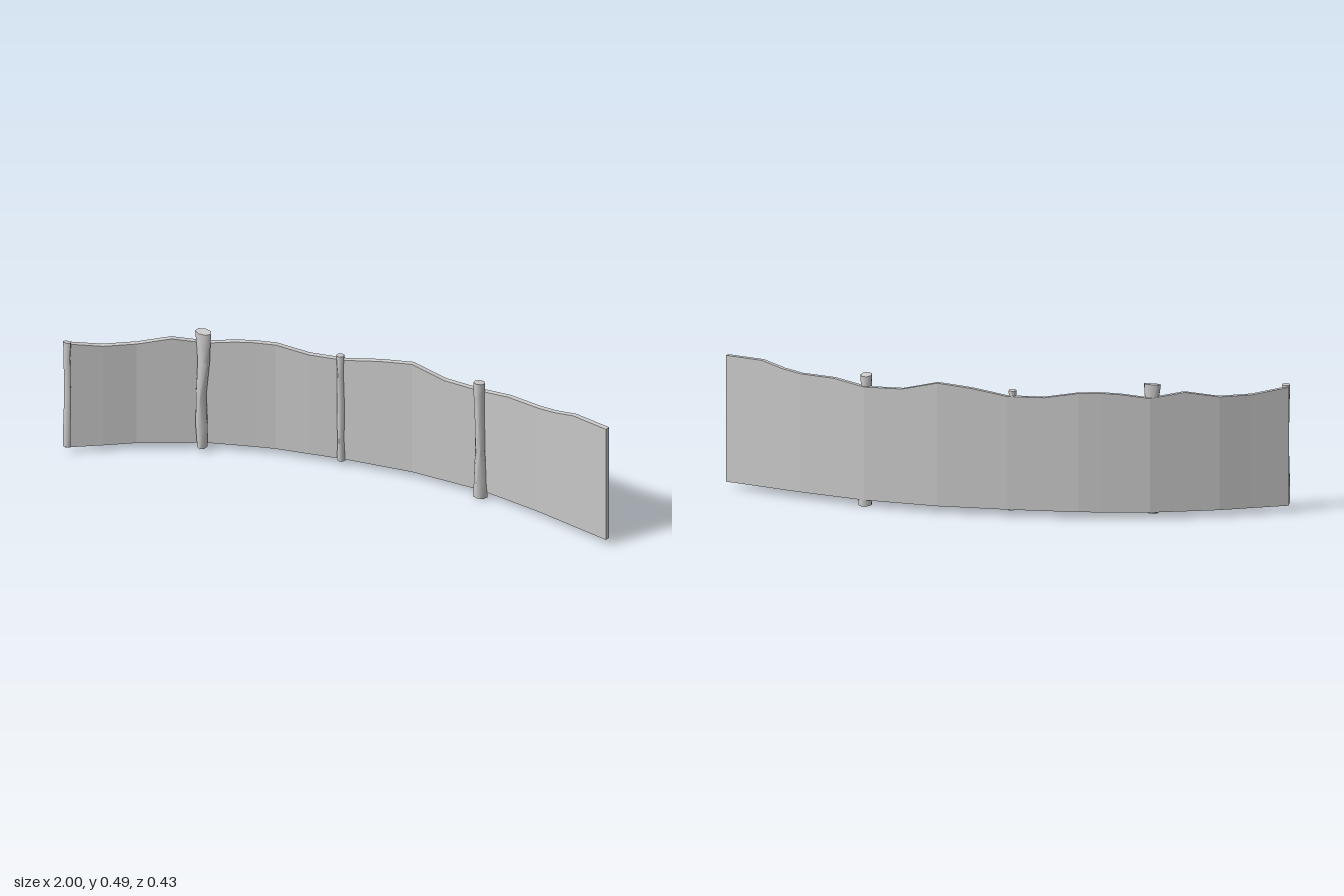
import * as THREE from 'three';
import { toCreasedNormals } from 'three/addons/utils/BufferGeometryUtils.js';

const material = new THREE.MeshStandardMaterial({ color: 0xcccccc });

// Stations along the wall: x, z of the centre line and height of the wavy top edge
const STATIONS = [
  [-0.992, 0.199, 0.456], [-0.88, 0.127, 0.437], [-0.78, 0.06, 0.437], [-0.67, 0.004, 0.458],
  [-0.56, -0.052, 0.44], [-0.46, -0.084, 0.454], [-0.395, -0.104, 0.458], [-0.32, -0.126, 0.457],
  [-0.2, -0.148, 0.437], [-0.07, -0.172, 0.437], [0.06, -0.188, 0.46], [0.18, -0.203, 0.473],
  [0.31, -0.203, 0.441], [0.45, -0.203, 0.437], [0.57, -0.185, 0.455], [0.7, -0.165, 0.456],
  [0.77, -0.151, 0.465], [0.855, -0.133, 0.485], [0.998, -0.104, 0.485],
];
const BASE = 0.025;
const HALF = 0.009;

// Thin curved wall: a four-cornered cross-section swept through the stations
function wallGeometry() {
  const pos = [];
  const quad = (a, b, c, d) => pos.push(...a, ...b, ...c, ...a, ...c, ...d);
  const rings = STATIONS.map(([x, z, top], i) => {
    const p = STATIONS[Math.max(i - 1, 0)];
    const n = STATIONS[Math.min(i + 1, STATIONS.length - 1)];
    const len = Math.hypot(n[0] - p[0], n[1] - p[1]);
    const ox = -(n[1] - p[1]) / len * HALF;
    const oz = (n[0] - p[0]) / len * HALF;
    return [
      [x + ox, BASE, z + oz], [x + ox, top, z + oz],
      [x - ox, top, z - oz], [x - ox, BASE, z - oz],
    ];
  });
  for (let i = 0; i < rings.length - 1; i++) {
    const a = rings[i], b = rings[i + 1];
    for (let k = 0; k < 4; k++) {
      const m = (k + 1) % 4;
      quad(a[k], b[k], b[m], a[m]);
    }
  }
  const s = rings[0], e = rings[rings.length - 1];
  quad(s[0], s[1], s[2], s[3]);
  quad(e[3], e[2], e[1], e[0]);
  const geo = new THREE.BufferGeometry();
  geo.setAttribute('position', new THREE.Float32BufferAttribute(pos, 3));
  geo.computeVertexNormals();
  return geo;
}

// Rough hewn post: rings are [y, x, z, half width, half depth], twisted and with tilted ends
function postGeometry(rings, twist, tilt) {
  const last = rings.length - 1;
  const geo = new THREE.CylinderGeometry(1, 1, last, 7, last);
  const p = geo.attributes.position;
  for (let i = 0; i < p.count; i++) {
    const r = Math.round(p.getY(i) + last / 2);
    const [y, x, z, w, d] = rings[r];
    const a = twist * r / last;
    const c = Math.cos(a), s = Math.sin(a);
    const ux = p.getX(i) * c - p.getZ(i) * s;
    const uz = p.getX(i) * s + p.getZ(i) * c;
    const lean = r === 0 || r === last ? tilt * uz : 0;
    p.setXYZ(i, x + ux * w, y + lean, z + uz * d);
  }
  return toCreasedNormals(geo, 0.95);
}

const POSTS = [
  { name: 'endPost', twist: 0.5, tilt: 0.002, rings: [
    [0.03, -0.982, 0.206, 0.014, 0.008], [0.08, -0.982, 0.205, 0.015, 0.009],
    [0.25, -0.978, 0.206, 0.013, 0.008], [0.4, -0.981, 0.205, 0.013, 0.009],
    [0.463, -0.982, 0.202, 0.015, 0.012]] },
  { name: 'thickPost', twist: 1.3, tilt: -0.002, rings: [
    [0.017, -0.564, -0.031, 0.018, 0.022], [0.1, -0.565, -0.028, 0.022, 0.023],
    [0.23, -0.567, -0.024, 0.018, 0.024], [0.37, -0.562, -0.035, 0.023, 0.02],
    [0.43, -0.563, -0.037, 0.026, 0.018], [0.488, -0.564, -0.039, 0.032, 0.019]] },
  { name: 'thinPost', twist: 0.4, tilt: 0.001, rings: [
    [0.022, -0.081, -0.16, 0.015, 0.015], [0.1, -0.082, -0.16, 0.012, 0.014],
    [0.25, -0.082, -0.159, 0.014, 0.014], [0.38, -0.084, -0.16, 0.012, 0.014],
    [0.456, -0.084, -0.16, 0.014, 0.015]] },
  { name: 'leaningPost', twist: 1.0, tilt: 0.004, rings: [
    [0.005, 0.455, -0.187, 0.026, 0.026], [0.07, 0.455, -0.186, 0.022, 0.025],
    [0.2, 0.456, -0.184, 0.018, 0.022], [0.32, 0.453, -0.185, 0.018, 0.021],
    [0.43, 0.45, -0.187, 0.02, 0.021], [0.477, 0.451, -0.187, 0.021, 0.022]] },
];

export function createModel() {
  const group = new THREE.Group();
  group.name = 'fence';

  const wall = new THREE.Mesh(wallGeometry(), material);
  wall.name = 'wall';
  group.add(wall);

  for (const { name, rings, twist, tilt } of POSTS) {
    const post = new THREE.Mesh(postGeometry(rings, twist, tilt), material);
    post.name = name;
    group.add(post);
  }
  return group;
}
